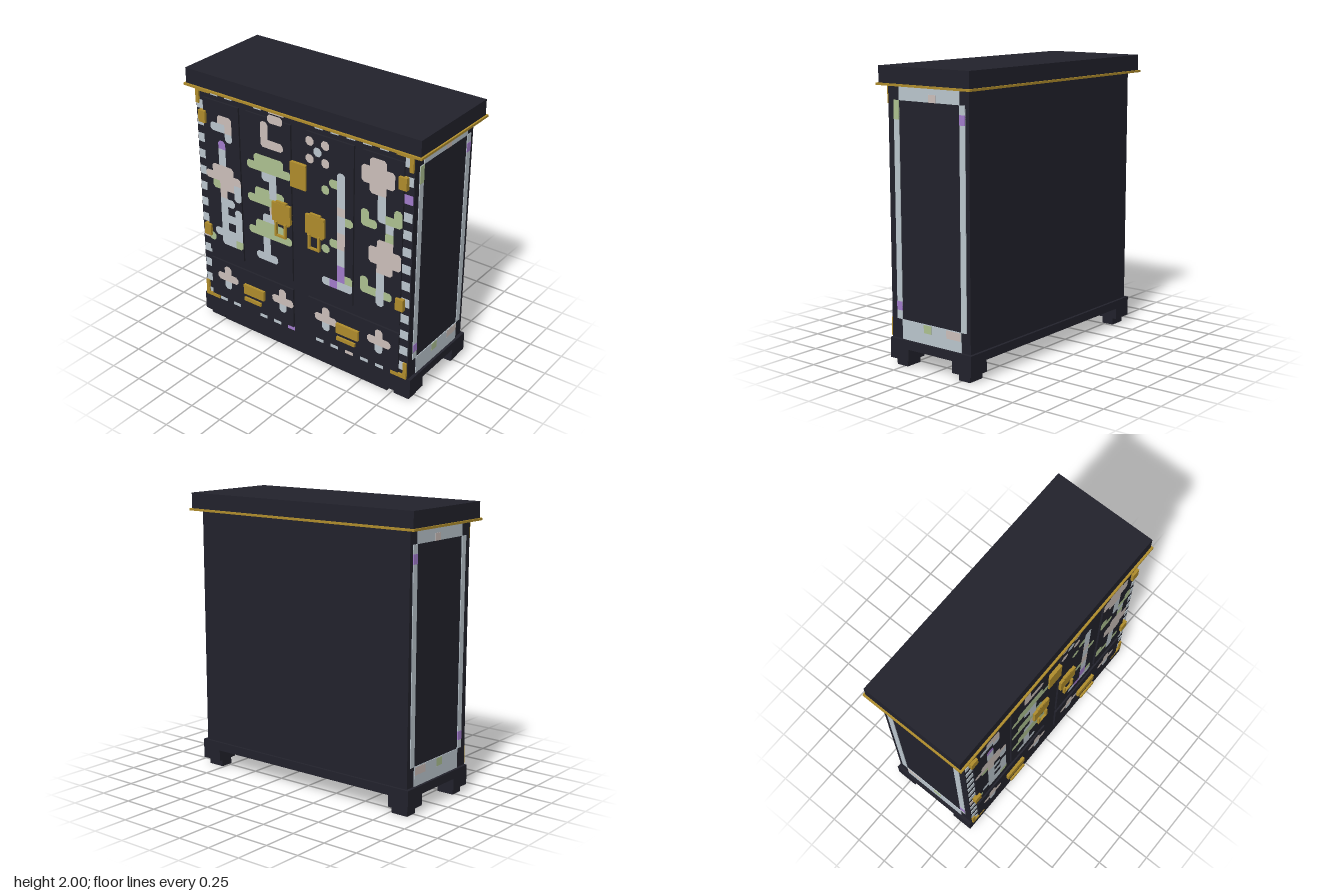
import * as THREE from 'three';

const mat = (name, color) => {
  const m = new THREE.MeshStandardMaterial({ color });
  m.name = name;
  return m;
};

const CELL = 0.0635, X0 = -0.889, Y0 = 1.842; // inlay grid

// Inlay motifs: p pearl, k pink, g green, v violet
const motifs = [
  { name: 'outerLeftInlay', col: 1, row: 2, rows: ['..kk.', '.ppk.', '...p.', '..v..', '..p..', '..p..', '.kkk.', 'kkkkk',
    '.gkkp', '..k.p', '..pp.', '..p.p', '..ppp', '..p.p', '.pppp', 'g.ppg'] },
  { name: 'innerLeftInlay', col: 7, row: 0, rows: ['...kk.', '..k...', '..k...', '..kkk.', '......', '.gggg.', 'gggggg', '..pp..',
    '...p..', '.ggpg.', 'gggggg', '...k..', '..pp..', '.gggg.', 'gggggg', '..p...', '..p...', '.ppp..'] },
  { name: 'innerRightInlay', col: 15, row: 1, rows: ['k.k...', '.p....', 'k.k...', '....p.', '...gp.', '..g.p.', '....p.', '....k.',
    '....pg', '....p.', '....k.', '...gk.', '..g.p.', '....p.', '....v.', '....vg', '..pvpp'] },
  { name: 'outerRightInlay', col: 22, row: 1, rows: ['.kk..', 'kkkk.', 'kkkk.', '.kk..', '..p..', '..p.g', 'g.pgg', 'gg.p.',
    '...g.', '..kk.', '.kkkk', '.kkkk', '..kk.', '..p..', 'g.p..', 'ggpg.', '..p..'] },
  ...[2, 10, 16, 23].map((col) => ({ name: 'drawerFlower', col, row: 21, rows: ['.k.', 'kkk', '.p.'] })),
];

export function createModel() {
  const root = new THREE.Group();
  root.name = 'cabinet';
  const lacquer = mat('black lacquer', 0x22222c);
  const brass = mat('brass', 0xb08d2c);
  const inlay = {
    p: mat('pearl', 0xbcc7cf), k: mat('pink shell', 0xcdc0bb),
    g: mat('green shell', 0xaec291), v: mat('violet shell', 0xa27ccc),
  };

  // Box given by its lower and upper corners
  const box = (name, material, x0, x1, y0, y1, z0, z1, parent = root) => {
    const m = new THREE.Mesh(new THREE.BoxGeometry(x1 - x0, y1 - y0, z1 - z0), material);
    m.position.set((x0 + x1) / 2, (y0 + y1) / 2, (z0 + z1) / 2);
    m.name = name;
    parent.add(m);
    return m;
  };
  // The same box on both sides of x = 0
  const pair = (name, material, x0, x1, ...rest) => {
    box(name, material, x0, x1, ...rest);
    box(name, material, -x1, -x0, ...rest);
  };

  // Carcass, cornice and brass rim
  box('body', lacquer, -0.895, 0.895, 0.13, 1.88, -0.33, 0.35);
  box('corniceRim', brass, -0.965, 0.965, 1.875, 1.89, -0.395, 0.395);
  box('cornice', lacquer, -0.952, 0.952, 1.89, 2, -0.38, 0.38);

  // Plinth with corner blocks, feet and front apron
  box('plinth', lacquer, -0.918, 0.918, 0.13, 0.19, -0.35, 0.35);
  for (const [z0, z1, f0, f1] of [[0.19, 0.35, 0.225, 0.317], [-0.35, -0.19, -0.317, -0.225]]) {
    pair('cornerBlock', lacquer, 0.76, 0.918, 0.05, 0.14, z0, z1);
    pair('foot', lacquer, 0.765, 0.89, 0, 0.06, f0, f1);
  }
  box('frontApronUpper', lacquer, -0.77, 0.77, 0.05, 0.14, 0.3, 0.35);
  box('frontApronLower', lacquer, -0.73, 0.73, 0.02, 0.06, 0.3, 0.345);

  // Raised door panels and drawer fronts
  pair('outerDoorPanel', lacquer, 0.51, 0.825, 0.61, 1.81, 0.34, 0.364);
  pair('innerDoorPanel', lacquer, 0.065, 0.445, 0.61, 1.81, 0.34, 0.364);
  pair('drawerFront', lacquer, 0.065, 0.825, 0.225, 0.54, 0.34, 0.364);

  // Inlay pictures: one tile per grid cell, with free corners clipped
  for (const { name, col, row, rows } of motifs) {
    const at = (c, r) => (rows[r]?.[c] ?? '.') !== '.';
    const byColour = {};
    rows.forEach((line, r) => [...line].forEach((key, c) => {
      if (key === '.') return;
      const x = X0 + (col + c) * CELL, y = Y0 - (row + r + 1) * CELL, s = new THREE.Shape();
      const points = [];
      // corners counter-clockwise: direction in x, direction in y
      [[0, 0], [1, 0], [1, 1], [0, 1]].forEach(([i, j], n) => {
        const free = !at(c + (i ? 1 : -1), r) && !at(c, r + (j ? -1 : 1));
        const px = x + i * CELL, py = y + j * CELL;
        if (!free) return points.push(new THREE.Vector2(px, py));
        const k = CELL * 0.28, dx = i ? -k : k, dy = j ? -k : k;
        const a = new THREE.Vector2(px + dx, py), b = new THREE.Vector2(px, py + dy);
        points.push(...(n % 2 ? [a, b] : [b, a]));
      });
      s.setFromPoints(points);
      (byColour[key] ??= []).push(s);
    }));
    for (const [key, shapes] of Object.entries(byColour)) {
      const m = new THREE.Mesh(new THREE.ShapeGeometry(shapes), inlay[key]);
      m.position.z = 0.367;
      m.name = name;
      root.add(m);
    }
  }

  // Chequered inlay border around the front
  const tile = (key, c, y0, y1) =>
    box('borderTile', inlay[key], X0 + c * CELL, X0 + (c + 1) * CELL, y0, y1, 0.346, 0.354);
  const rowTop = (r) => Y0 - r * CELL;
  for (let r = 1; r < 26; r += 2) tile(r === 17 ? 'k' : 'p', 0, rowTop(r + 1), rowTop(r));
  for (let r = 0; r < 25; r += 2) tile(r === 4 ? 'v' : 'p', 27, rowTop(r + 1), rowTop(r));
  for (const c of [2, 4, 8, 10, 11, 16, 18, 20, 22, 24]) {
    tile(c === 10 || c === 11 ? 'k' : 'p', c, 1.842, 1.875);
    if (c !== 11) tile(c === 20 ? 'k' : 'p', c, 0.19, 0.222);
  }
  tile('v', 12, 0.19, 0.222);

  // Inlay frame on each side
  for (const s of [1, -1]) {
    const side = new THREE.Group();
    side.name = s > 0 ? 'leftSideInlay' : 'rightSideInlay';
    root.add(side);
    const strip = (key, y0, y1, z0, z1, lift = 0) => {
      const a = s * 0.893, b = s * (0.9 + lift);
      box('sideInlay', inlay[key], Math.min(a, b), Math.max(a, b), y0, y1, z0, z1, side);
    };
    strip('p', 1.78, 1.876, -0.255, 0.255);
    strip('p', 0.19, 0.325, -0.255, 0.255);
    strip('p', 0.325, 1.78, 0.255, 0.3);
    strip('p', 0.325, 1.78, -0.3, -0.255);
    strip(s > 0 ? 'g' : 'p', 1.655, 1.78, 0.255, 0.3, 0.002);
    strip('v', 1.655, 1.72, -0.3, -0.255, 0.002);
    strip('v', 0.385, 0.445, 0.255, 0.3, 0.002);
    strip('k', 1.78, 1.83, -0.06, 0, 0.002);
    strip('g', 0.265, 0.32, 0, 0.065, 0.002);
    strip('k', 0.265, 0.32, -0.25, -0.13, 0.002);
  }

  // Brass corner brackets and hinges
  pair('topBracketBar', brass, 0.765, 0.89, 1.85, 1.876, 0.345, 0.365);
  pair('topBracketPost', brass, 0.862, 0.89, 1.755, 1.876, 0.345, 0.364);
  pair('bottomBracketBar', brass, 0.765, 0.89, 0.195, 0.222, 0.345, 0.365);
  pair('bottomBracketPost', brass, 0.862, 0.89, 0.195, 0.32, 0.345, 0.364);
  for (const y of [0.735, 1.627]) pair('hinge', brass, 0.797, 0.857, y, y + 0.088, 0.345, 0.383);

  // Central lock plate
  box('lockPlate', brass, -0.065, 0.065, 1.37, 1.555, 0.345, 0.375);

  // Door plates with hanging pulls
  pair('doorPlate', brass, 0.065, 0.222, 1.065, 1.208, 0.345, 0.385);
  pair('doorPlateCrest', brass, 0.1, 0.188, 1.2, 1.223, 0.345, 0.383);
  pair('doorPlateFoot', brass, 0.08, 0.207, 1.048, 1.07, 0.345, 0.383);
  pair('pullLeg', brass, 0.095, 0.11, 0.955, 1.065, 0.38, 0.398);
  pair('pullLeg', brass, 0.175, 0.19, 0.955, 1.065, 0.38, 0.398);
  pair('pullBar', brass, 0.1, 0.185, 0.955, 0.968, 0.38, 0.397);

  // Drawer plates and handles
  pair('drawerPlate', brass, 0.32, 0.505, 0.353, 0.43, 0.36, 0.385);
  pair('drawerHandle', brass, 0.337, 0.49, 0.308, 0.335, 0.385, 0.4);

  return root;
}
